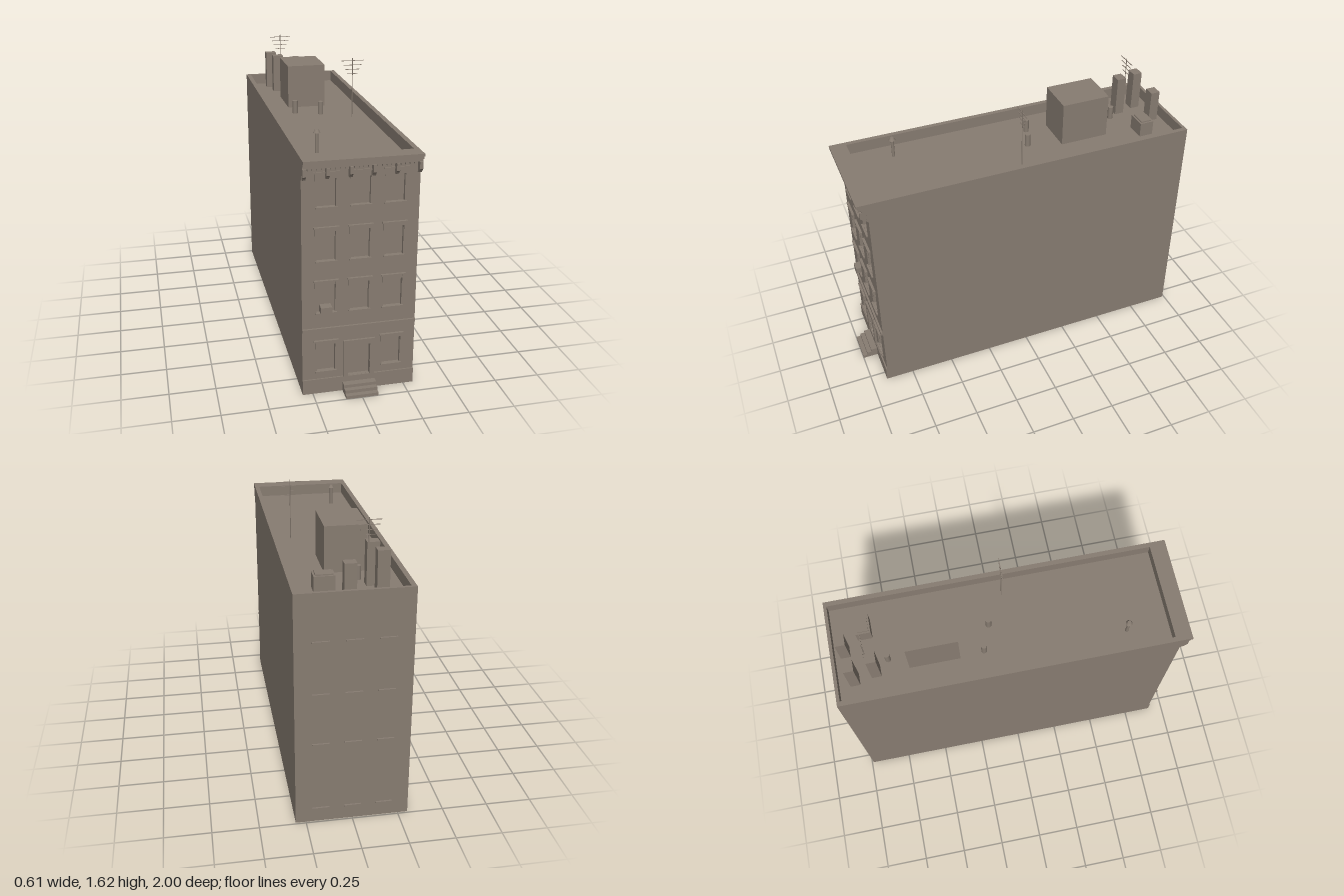
import * as THREE from 'three';

export function createModel() {
  const group = new THREE.Group();
  const stone = new THREE.MeshStandardMaterial({ color: 0x877c71, side: THREE.DoubleSide });
  stone.name = 'warm grey stone';

  const W = 0.305, FRONT = 0.904, BACK = -0.99, DECK = 1.255, TOP = 1.32;

  const add = (name, geometry, x = 0, y = 0, z = 0) => {
    const mesh = new THREE.Mesh(geometry, stone);
    mesh.name = name;
    mesh.position.set(x, y, z);
    group.add(mesh);
    return mesh;
  };
  // Box given by its limits on each axis
  const box = (name, x0, x1, y0, y1, z0, z1) =>
    add(name, new THREE.BoxGeometry(x1 - x0, y1 - y0, z1 - z0), (x0 + x1) / 2, (y0 + y1) / 2, (z0 + z1) / 2);
  const tube = (name, r, x, y0, y1, z, sides = 12) =>
    add(name, new THREE.CylinderGeometry(r, r, y1 - y0, sides), x, (y0 + y1) / 2, z);
  const rect = (Type, x0, x1, y0, y1) => new Type([
    new THREE.Vector2(x0, y0), new THREE.Vector2(x1, y0),
    new THREE.Vector2(x1, y1), new THREE.Vector2(x0, y1)]);

  // Openings in the facade: windows on four floors and the door
  const columns = [-0.178, 0, 0.178];
  const floors = [[0.13, 0.29], [0.475, 0.637], [0.767, 0.93], [1.06, 1.222]];
  const windows = [];
  floors.forEach(([y0, y1], f) => columns.forEach((x) => {
    if (f > 0 || x !== 0) windows.push({ x, y0, y1 });
  }));
  const openings = windows.map(({ x, y0, y1 }) => [x - 0.049, x + 0.049, y0, y1]);
  openings.push([-0.06, 0.06, 0.085, 0.27]);

  // Open-bottomed shell
  const facade = rect(THREE.Shape, -W, W, 0, DECK);
  openings.forEach((o) => facade.holes.push(rect(THREE.Path, ...o)));
  add('frontWall', new THREE.ShapeGeometry(facade), 0, 0, FRONT);
  add('backWall', new THREE.PlaneGeometry(2 * W, DECK), 0, DECK / 2, BACK).rotation.y = Math.PI;
  const midZ = (FRONT + BACK) / 2;
  for (const s of [-1, 1]) {
    add(s > 0 ? 'leftWall' : 'rightWall', new THREE.PlaneGeometry(FRONT - BACK, DECK), s * W, DECK / 2, midZ)
      .rotation.y = s * Math.PI / 2;
  }
  add('roofDeck', new THREE.PlaneGeometry(2 * W, FRONT - BACK), 0, DECK, midZ).rotation.x = -Math.PI / 2;

  // Parapet ring around the roof
  const ring = rect(THREE.Shape, -W, W, -FRONT, -BACK);
  ring.holes.push(rect(THREE.Path, -0.278, 0.278, -0.868, 0.972));
  add('parapet', new THREE.ExtrudeGeometry(ring, { depth: TOP - DECK, bevelEnabled: false }), 0, DECK, 0)
    .rotation.x = -Math.PI / 2;

  // Recessed reveals with a pane at the back
  const depth = 0.02;
  openings.forEach(([x0, x1, y0, y1], i) => {
    const name = i < windows.length ? 'window' : 'door';
    const outline = rect(THREE.Shape, x0 - 0.002, x1 + 0.002, y0 - 0.002, y1 + 0.002);
    outline.holes.push(rect(THREE.Path, x0, x1, y0, y1));
    add(name + 'Reveal', new THREE.ExtrudeGeometry(outline, { depth: depth - 0.001, bevelEnabled: false }),
      0, 0, FRONT - depth);
    add(name + 'Pane', new THREE.PlaneGeometry(x1 - x0, y1 - y0), (x0 + x1) / 2, (y0 + y1) / 2, FRONT - depth);
  });

  // Window trim: hood, lintel, paired brackets, sill
  windows.forEach(({ x, y0, y1 }) => {
    box('windowSill', x - 0.057, x + 0.057, y0 - 0.006, y0 + 0.002, FRONT, 0.914);
    box('windowLintel', x - 0.058, x + 0.058, y1, y1 + 0.018, FRONT, 0.911);
    box('windowHood', x - 0.066, x + 0.066, y1 + 0.018, y1 + 0.026, FRONT, 0.918);
    for (const s of [-1, 1]) {
      const bx = x + s * 0.054;
      box('hoodBracket', bx - 0.005, bx + 0.005, y1 - 0.02, y1 + 0.018, FRONT, 0.915);
    }
  });

  // Door casing and stoop
  for (const s of [-1, 1]) {
    box('doorJamb', s * 0.0725 - 0.0125, s * 0.0725 + 0.0125, 0.085, 0.27, FRONT, 0.916);
  }
  box('doorHead', -0.085, 0.085, 0.27, 0.30, FRONT, 0.916);
  [[0, 0.017, 1.0], [0.017, 0.035, 0.974], [0.035, 0.052, 0.948]].forEach(([y0, y1, z]) =>
    box('step', -0.088, 0.088, y0, y1, FRONT, z));

  // Horizontal bands and cornice
  box('plinth', -W, W, 0, 0.085, FRONT, 0.912);
  box('beltCourse', -W, W, 0.372, 0.389, FRONT, 0.915);
  box('frieze', -W, W, 1.21, 1.273, FRONT, 0.912);
  [[1.273, 1.29, 0.935], [1.29, 1.305, 0.95], [1.305, TOP, 0.961]].forEach(([y0, y1, z]) =>
    box('cornice', -W, W, y0, y1, FRONT, z));

  // Curved cornice brackets with dentils between them
  const profile = new THREE.Shape();
  profile.moveTo(0, 0);
  profile.lineTo(0.014, 0);
  profile.lineTo(0.022, 0.012);
  profile.lineTo(0.034, 0.022);
  profile.lineTo(0.034, 0.06);
  profile.lineTo(0, 0.06);
  const bracket = new THREE.ExtrudeGeometry(profile, { depth: 0.017, bevelEnabled: false });
  bracket.translate(0, 0, -0.0085);
  bracket.rotateY(-Math.PI / 2);
  for (let i = 0; i < 6; i++) {
    const x = -0.295 + i * 0.118;
    add('corniceBracket', bracket, x, 1.214, 0.911);
    for (let j = 1; j < 5 && i < 5; j++) {
      const dx = x + j * 0.0236;
      box('dentil', dx - 0.005, dx + 0.005, 1.259, 1.273, 0.911, 0.925);
    }
  }

  // Window-mounted unit
  box('windowUnit', -0.21, -0.15, 0.48, 0.516, 0.884, 0.932);

  // Thin sills on the rear wall
  [0.083, 0.478, 0.768, 1.06].forEach((y) => [-0.17, 0, 0.17].forEach((x) =>
    box('rearSill', x - 0.045, x + 0.045, y - 0.004, y + 0.004, -1.0, BACK)));

  // Rooftop structures
  box('stairHouse', -0.143, 0.085, DECK, 1.51, -0.582, -0.3);
  box('chimney', -0.186, -0.122, DECK, 1.486, -0.912, -0.858);
  box('chimney', -0.016, 0.047, DECK, 1.44, -0.942, -0.888);
  box('chimney', -0.16, -0.095, DECK, 1.488, -0.792, -0.738);
  box('roofHatch', 0.07, 0.18, DECK, 1.34, -0.836, -0.754);
  box('hatchLid', 0.08, 0.17, 1.34, 1.347, -0.826, -0.764);

  // Vent pipes
  [[-0.072, -0.69], [-0.126, -0.165], [0.018, -0.113]].forEach(([x, z]) =>
    tube('ventPipe', 0.016, x, DECK, 1.331, z));
  tube('cappedPipe', 0.009, -0.166, DECK, 1.362, 0.63);
  add('pipeCap', new THREE.CylinderGeometry(0.01, 0.019, 0.016, 12), -0.166, 1.37, 0.63);

  // Aerials: mast with shortening crossbars
  [[-0.104, -0.789, 1.616, 1.603], [0.184, -0.008, 1.604, 1.59]].forEach(([x, z, top, first]) => {
    tube('aerialMast', 0.0025, x, DECK, top, z, 6);
    for (let i = 0; i < 4; i++) {
      const half = 0.065 - i * 0.011, y = first - i * 0.0255;
      box('aerialBar', x - half, x + half, y - 0.0015, y + 0.0015, z - 0.0015, z + 0.0015);
    }
  });

  return group;
}
